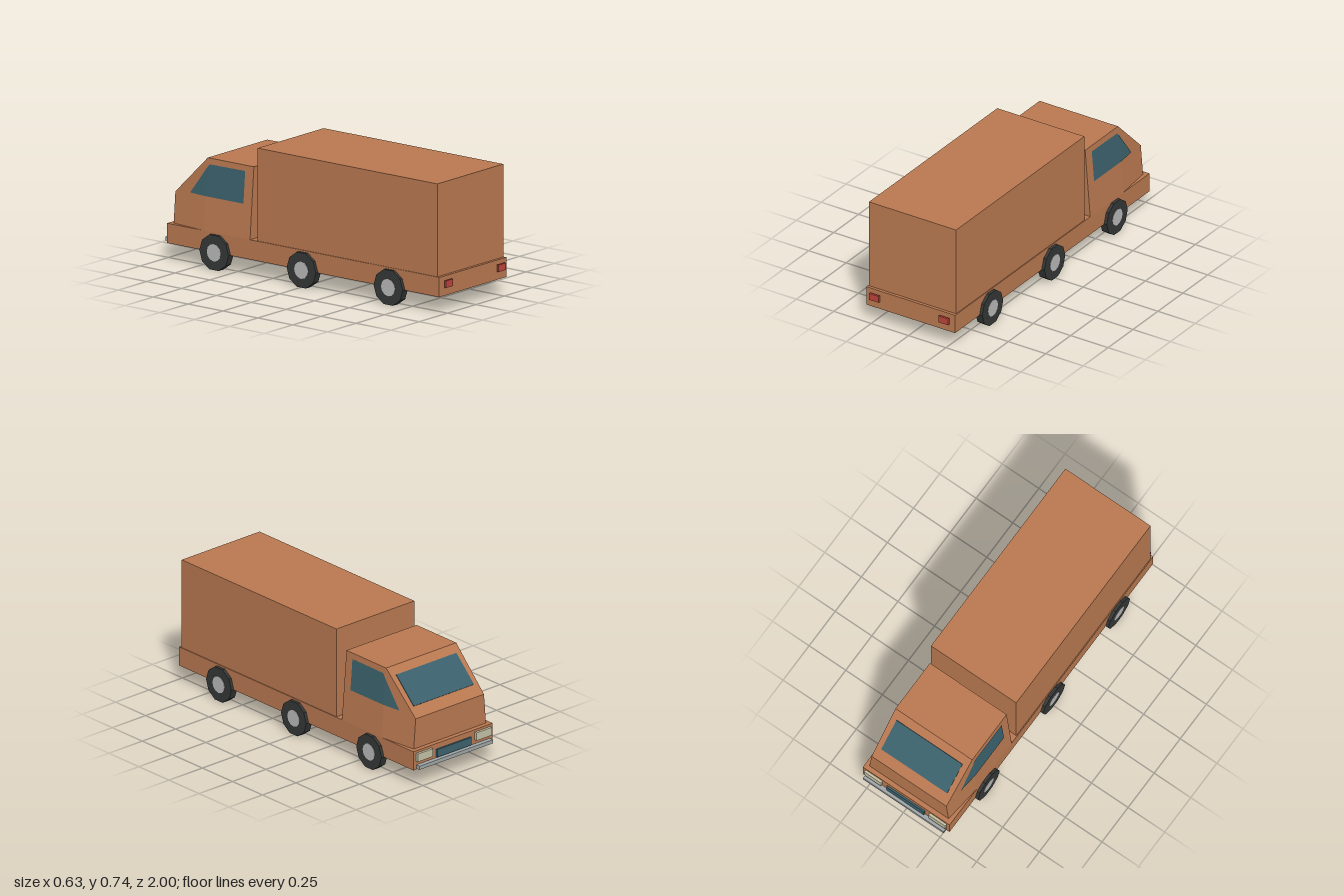
import * as THREE from 'three';
import { ConvexGeometry } from 'three/addons/geometries/ConvexGeometry.js';

const paint = (color) => new THREE.MeshStandardMaterial({ color, flatShading: true });

export function createModel() {
  const truck = new THREE.Group();
  truck.name = 'truck';
  const body = paint(0xb87850);
  const glass = paint(0x3b616c);
  glass.side = THREE.DoubleSide;
  const rubber = paint(0x343736);
  const hubMetal = paint(0xb8b8b8);
  const chrome = paint(0x9fa5a6);
  const lamp = paint(0xc4c0a4);
  const red = paint(0xbb443a);

  const add = (name, geometry, material) => {
    const mesh = new THREE.Mesh(geometry, material);
    mesh.name = name;
    truck.add(mesh);
    return mesh;
  };

  // Box given by its limits along each axis
  const block = (name, material, [x0, x1], [y0, y1], [z0, z1]) =>
    add(name, new THREE.BoxGeometry(x1 - x0, y1 - y0, z1 - z0), material)
      .position.set((x0 + x1) / 2, (y0 + y1) / 2, (z0 + z1) / 2);

  block('chassis', body, [-0.296, 0.296], [0.097, 0.21], [-0.973, 0.978]);
  block('cargoBox', body, [-0.291, 0.291], [0.21, 0.743], [-0.327, 0.96]);

  // Half width of the cab: narrows upwards, and towards the nose past the door
  const cabX = (y, z) => 0.296 - 0.0825 * (y - 0.21) - 0.109 * Math.max(0, -0.708 - z);

  // Cab: side outline (z, y) mirrored across the middle
  const outline = [[-0.378, 0.21], [-0.708, 0.21], [-0.946, 0.21], [-0.946, 0.389], [-0.708, 0.622], [-0.378, 0.622]];
  const corners = outline.flatMap(([z, y]) =>
    [-1, 1].map((s) => new THREE.Vector3(s * cabX(y, z), y, z)));
  add('cab', new ConvexGeometry(corners), body);

  // Windscreen laid on the sloping front
  const windscreen = add('windscreen', new THREE.BoxGeometry(0.45, 0.008, 0.205), glass);
  windscreen.position.set(0, 0.511, -0.821);
  windscreen.rotation.x = -Math.atan2(0.233, 0.238);

  // Side windows: a fan following the cab side, hub of the fan on the crease
  const pane = [[-0.708, 0.405], [-0.435, 0.405], [-0.435, 0.59], [-0.69, 0.588], [-0.708, 0.565], [-0.827, 0.405]];
  for (const s of [-1, 1]) {
    const geometry = new THREE.BufferGeometry();
    geometry.setAttribute('position', new THREE.Float32BufferAttribute(
      pane.flatMap(([z, y]) => [s * (cabX(y, z) + 0.004), y, z]), 3));
    const index = [];
    for (let i = 1; i < pane.length - 1; i++) {
      index.push(0, ...(s > 0 ? [i + 1, i] : [i, i + 1]));
    }
    // Outward winding on both sides
    geometry.setIndex(index.reverse());
    geometry.computeVertexNormals();
    if (geometry.attributes.normal.getX(0) * s < 0) {
      geometry.setIndex(index.reverse());
      geometry.computeVertexNormals();
    }
    add('sideWindow', geometry, glass);
  }

  // Nose: bumper, grille and headlights
  block('bumper', chrome, [-0.275, 0.275], [0.103, 0.125], [-1, -0.97]);
  block('grille', glass, [-0.128, 0.128], [0.13, 0.177], [-0.984, -0.97]);
  for (const s of [-1, 1]) {
    const span = (a, b) => (s > 0 ? [a, b] : [-b, -a]);
    block('headlight', lamp, span(0.162, 0.277), [0.147, 0.195], [-0.988, -0.97]);
    block('tailLight', red, span(0.2, 0.264), [0.147, 0.187], [0.988, 1]);

    // Ten-sided wheels on three axles
    for (const z of [-0.622, 0.004, 0.627]) {
      const wheel = new THREE.Group();
      wheel.name = 'wheel';
      const parts = [['tyre', 0.105, 0.045, 10, rubber], ['hub', 0.05, 0.049, 12, hubMetal]];
      for (const [name, radius, width, sides, material] of parts) {
        const geometry = new THREE.CylinderGeometry(radius, radius, width, sides);
        geometry.rotateY(Math.PI / 2).rotateZ(Math.PI / 2);
        geometry.rotateX(name === 'tyre' ? Math.PI / 2 : 0);
        const mesh = new THREE.Mesh(geometry, material);
        mesh.name = name;
        wheel.add(mesh);
      }
      wheel.position.set(s * 0.2915, 0.1, z);
      truck.add(wheel);
    }
  }
  return truck;
}
